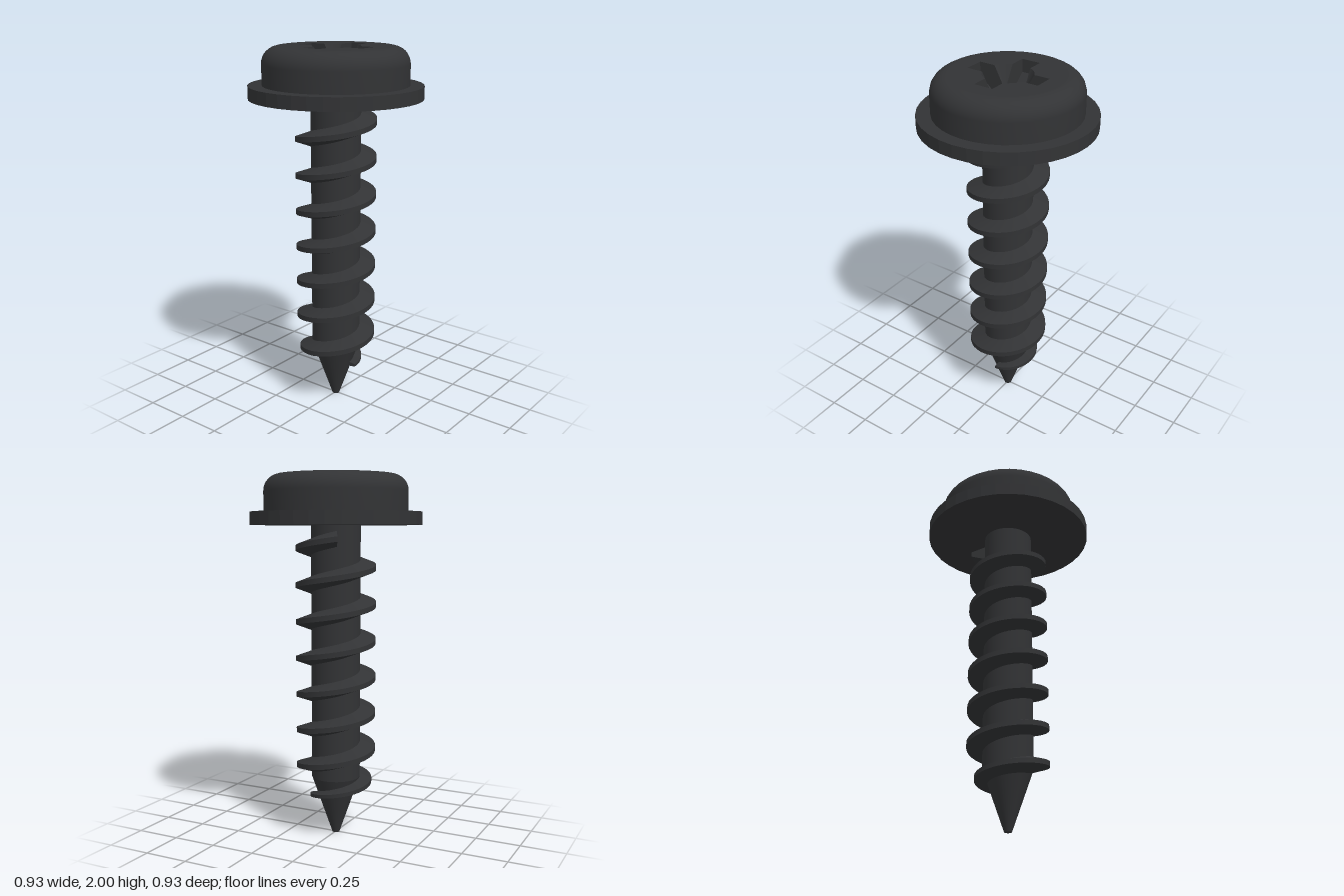
import * as THREE from 'three';

const steel = new THREE.MeshStandardMaterial({ color: 0x323335 });
const steelThin = new THREE.MeshStandardMaterial({ color: 0x323335, side: THREE.DoubleSide });
const SEG = 36;

function add(parent, name, geometry, material = steel) {
  const mesh = new THREE.Mesh(geometry, material);
  mesh.name = name;
  parent.add(mesh);
  return mesh;
}

function cylinder(rTop, rBottom, y0, y1) {
  return new THREE.CylinderGeometry(rTop, rBottom, y1 - y0, SEG).translate(0, (y0 + y1) / 2, 0);
}

// Geometry from a list of four-cornered faces, each shaded flat
function fromQuads(quads) {
  const pos = [];
  for (const [a, b, c, d] of quads) pos.push(...a, ...b, ...c, ...a, ...c, ...d);
  const g = new THREE.BufferGeometry();
  g.setAttribute('position', new THREE.Float32BufferAttribute(pos, 3));
  g.computeVertexNormals();
  return g;
}

// Cross recess sizes: arm half width and reach, cone mouth, floor levels
const W = 0.053, L = 0.207, MOUTH = 0.13, PIT = 0.025;
const TOP = 2, BOTTOM = 1.77, ARM_END = 1.93;
const EDGE = Math.sqrt(MOUTH * MOUTH - W * W); // where the cone mouth meets an arm
const armFloor = (d) => BOTTOM + (ARM_END - BOTTOM) * (d - PIT) / (L - PIT);
const coneY = (r) => TOP - (TOP - BOTTOM) * (MOUTH - r) / (MOUTH - PIT);

// Outline of the recess mouth: cross joined with the cone circle
function recessOutline() {
  const path = new THREE.Path();
  const a0 = Math.asin(W / MOUTH);
  for (let q = 0; q < 4; q++) {
    const c = Math.round(Math.cos(q * Math.PI / 2)), s = Math.round(Math.sin(q * Math.PI / 2));
    const pts = [[L, -W], [L, W]];
    for (let i = 0; i <= 8; i++) {
      const a = a0 + (Math.PI / 2 - 2 * a0) * i / 8;
      pts.push([MOUTH * Math.cos(a), MOUTH * Math.sin(a)]);
    }
    pts.forEach(([x, y], i) => {
      const px = x * c - y * s, py = x * s + y * c;
      if (q === 0 && i === 0) path.moveTo(px, py);
      else path.lineTo(px, py);
    });
  }
  path.closePath();
  return path;
}

// One quarter of the recess: an arm along +x and the cone sector beside it
function recessQuarter() {
  const quads = [];
  const yIn = armFloor(W), pit = PIT * 0.7;
  quads.push([[W, yIn, W], [L, ARM_END, W], [L, ARM_END, -W], [W, yIn, -W]]); // sloping floor
  quads.push([[pit, BOTTOM, pit], [W, yIn, W], [W, yIn, -W], [pit, BOTTOM, -pit]]); // centre
  quads.push([[0, BOTTOM, 0], [pit, BOTTOM, pit], [pit, BOTTOM, -pit], [0, BOTTOM, 0]]);
  quads.push([[L, ARM_END, W], [L, TOP, W], [L, TOP, -W], [L, ARM_END, -W]]); // end wall
  const yCorner = coneY(W * Math.SQRT2);
  for (const s of [1, -1]) { // side walls
    const z = s * W;
    const wall = [
      [[W, yIn, z], [W, yCorner, z], [EDGE, TOP, z], [EDGE, armFloor(EDGE), z]],
      [[EDGE, armFloor(EDGE), z], [EDGE, TOP, z], [L, TOP, z], [L, ARM_END, z]],
    ];
    quads.push(...wall.map((f) => (s > 0 ? f : f.reverse())));
  }
  const a0 = Math.asin(W / MOUTH); // cone sector
  const rim = (i) => {
    const a = a0 + (Math.PI / 2 - 2 * a0) * i / 8;
    return [MOUTH * Math.cos(a), TOP, MOUTH * Math.sin(a)];
  };
  const corner = [W, yCorner, W];
  for (let i = 0; i < 8; i++) quads.push([corner, rim(i + 1), rim(i), corner]);
  return fromQuads(quads);
}

// Helical thread with a trapezoid section, fading out towards the point
function threadGeometry() {
  const turns = 7.33, perTurn = 36, n = Math.round(turns * perTurn);
  const section = (i) => {
    const a = (i / n) * turns * Math.PI * 2;
    const t = Math.min(1, a / (1.5 * Math.PI));
    const y = 0.18 + 0.2015 * a / (Math.PI * 2) + 0.03 * (1 - t);
    const outer = 0.135 + 0.085 * t, inner = 0.095 + 0.03 * t;
    const root = 0.012 + 0.033 * t, crest = 0.008 + 0.006 * t;
    return [[inner, root], [outer, crest], [outer, -crest], [inner, -root]]
      .map(([r, h]) => [r * Math.cos(a), y + h, -r * Math.sin(a)]);
  };
  const pos = [], index = [];
  for (let k = 0; k < 3; k++) { // upper flank, crest, lower flank
    const base = pos.length / 3;
    for (let i = 0; i <= n; i++) {
      const s = section(i);
      pos.push(...s[k], ...s[k + 1]);
      if (i < n) {
        const p = base + i * 2;
        index.push(p, p + 1, p + 2, p + 1, p + 3, p + 2);
      }
    }
  }
  for (const i of [0, n]) { // end caps
    const b = pos.length / 3;
    pos.push(...section(i).flat());
    if (i) index.push(b, b + 1, b + 2, b, b + 2, b + 3);
    else index.push(b, b + 2, b + 1, b, b + 3, b + 2);
  }
  const g = new THREE.BufferGeometry();
  g.setAttribute('position', new THREE.Float32BufferAttribute(pos, 3));
  g.setIndex(index);
  g.computeVertexNormals();
  return g;
}

export function createModel() {
  const screw = new THREE.Group();
  screw.name = 'screw';

  // Head: straight side, rounded shoulder, flat top pierced by the recess
  const head = new THREE.Group();
  head.name = 'head';
  screw.add(head);
  const R = 0.39, round = 0.09;
  const profile = [new THREE.Vector2(R, 1.79)];
  for (let i = 0; i <= 8; i++) {
    const a = (i / 8) * Math.PI / 2;
    profile.push(new THREE.Vector2(R - round + round * Math.cos(a), TOP - round + round * Math.sin(a)));
  }
  add(head, 'headSide', new THREE.LatheGeometry(profile, SEG));
  const face = new THREE.Shape();
  for (let i = 0; i < SEG; i++) {
    const a = (i / SEG) * Math.PI * 2;
    face[i ? 'lineTo' : 'moveTo']((R - round) * Math.cos(a), (R - round) * Math.sin(a));
  }
  face.closePath();
  face.holes.push(recessOutline());
  add(head, 'headTop', new THREE.ShapeGeometry(face).rotateX(-Math.PI / 2).translate(0, TOP, 0));

  const quarter = recessQuarter();
  for (let q = 0; q < 4; q++) {
    add(head, 'crossRecess', quarter, steelThin).rotation.y = q * Math.PI / 2;
  }

  // Washer flange, shank and point; the flange top is open under the recess
  add(screw, 'flange', new THREE.LatheGeometry(
    [[0, 1.73], [0.465, 1.73], [0.465, 1.73], [0.465, 1.8], [0.465, 1.8], [0.36, 1.8]]
      .map(([x, y]) => new THREE.Vector2(x, y)), SEG).toNonIndexed()).geometry.computeVertexNormals();
  add(screw, 'shank', cylinder(0.135, 0.135, 0.33, 1.74));
  add(screw, 'point', cylinder(0.135, 0.02, 0, 0.33));
  add(screw, 'thread', threadGeometry(), steelThin);
  return screw;
}
